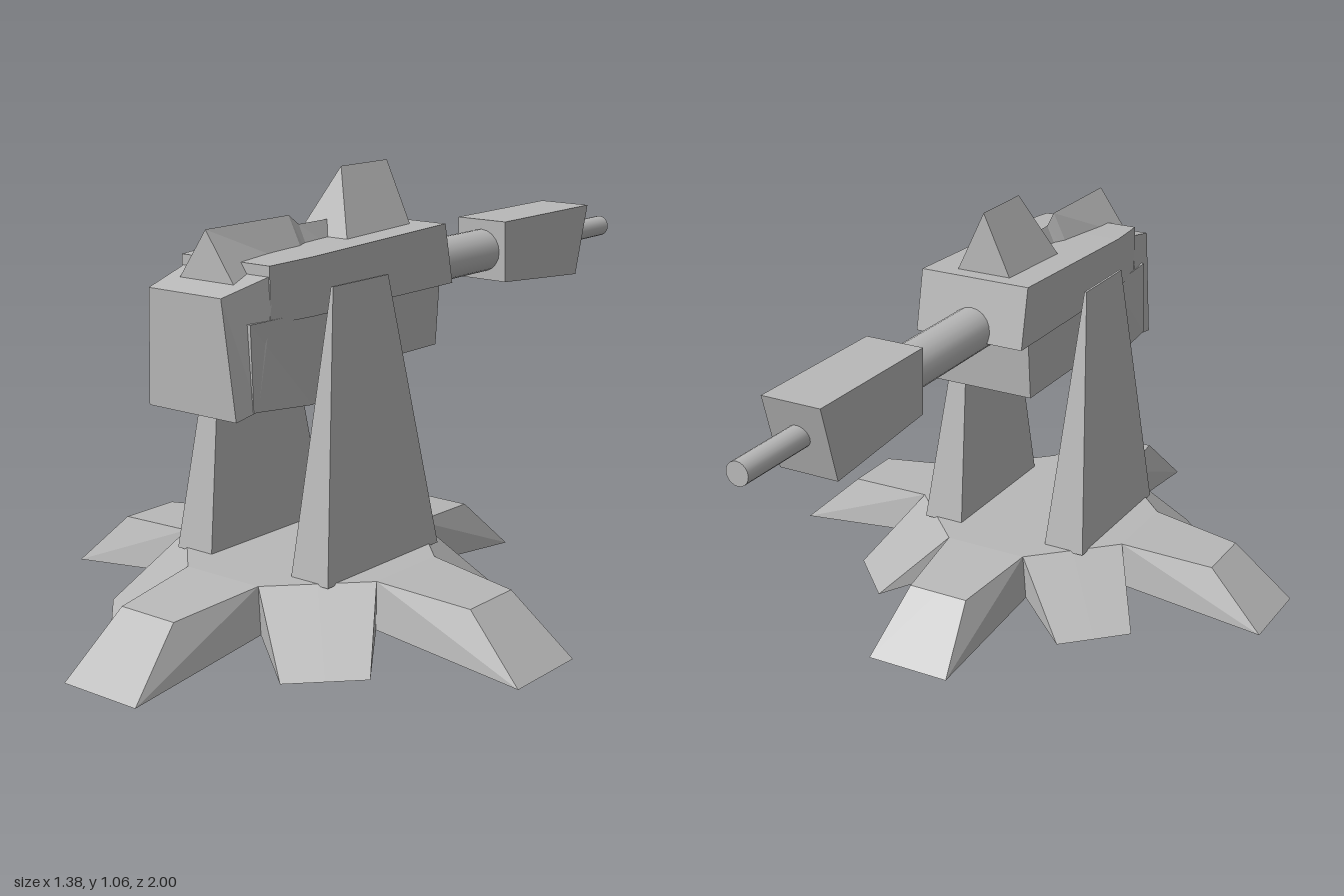
import * as THREE from 'three';

const grey = new THREE.MeshStandardMaterial({ color: 0xb8b8b8 });
grey.name = 'plain grey';
const greySheet = new THREE.MeshStandardMaterial({ color: 0xb8b8b8, side: THREE.DoubleSide });
greySheet.name = 'plain grey sheet';

// Unindexed triangles give flat facets
function facets(triangles) {
  const g = new THREE.BufferGeometry();
  g.setAttribute('position', new THREE.Float32BufferAttribute(triangles.flat(2), 3));
  g.computeVertexNormals();
  return g;
}

// Joins cross-sections (counter-clockwise seen from +z) running from back to front
function loft(sections) {
  const tris = [];
  const n = sections[0].length;
  for (let s = 0; s < sections.length - 1; s++) {
    const p = sections[s], q = sections[s + 1];
    for (let i = 0; i < n; i++) {
      const j = (i + 1) % n;
      tris.push([p[i], p[j], q[j]], [p[i], q[j], q[i]]);
    }
  }
  const first = sections[0], last = sections[sections.length - 1];
  for (let i = 1; i < n - 1; i++) {
    tris.push([first[0], first[i + 1], first[i]], [last[0], last[i], last[i + 1]]);
  }
  return facets(tris);
}

// Four-cornered section: half width, y and z of its top and bottom edges
const quad = (wt, yt, zt, wb, yb, zb, lean = 0) =>
  [[wt + lean, yt, zt], [-wt + lean, yt, zt], [-wb, yb, zb], [wb, yb, zb]];

// Three-cornered section with its peak on top
const peak = (yTop, zTop, w, yBase, zBase) =>
  [[0, yTop, zTop], [-w, yBase, zBase], [w, yBase, zBase]];

// Hollow star foot: a half arm and half of a short diagonal toe, copied eight times
function starFoot() {
  const C = [0, 0.16, 0], I = [0.30, 0.16, 0.11], Im = [0.30, 0.16, 0];
  const R = [0.54, 0.14, 0.08], Rm = [0.54, 0.14, 0];
  const T = [0.69, 0, 0.11], Tm = [0.69, 0, 0];
  const N = [0.31, 0.05, 0.125];
  const D = [0.205, 0.16, 0.205], E = [0.335, 0, 0.335], F = [0.405, 0, 0.265];
  const wedge = [
    [C, I, Im], [C, D, I],
    [Im, I, R], [Im, R, Rm],
    [Rm, R, T], [Rm, T, Tm],
    [I, N, T], [I, T, R],
    [D, E, F], [D, F, I], [I, F, N],
  ];
  const tris = [];
  for (let k = 0; k < 4; k++) {
    const c = Math.round(Math.cos(k * Math.PI / 2)), s = Math.round(Math.sin(k * Math.PI / 2));
    for (const m of [1, -1]) {
      const turn = ([x, y, z]) => [x * c + z * m * s, y, -x * s + z * m * c];
      for (const t of wedge) {
        const v = t.map(turn);
        tris.push(m > 0 ? v : [v[0], v[2], v[1]]);
      }
    }
  }
  return facets(tris);
}

export function createModel() {
  const group = new THREE.Group();
  group.name = 'turret';
  const add = (name, geometry, material = grey) => {
    const mesh = new THREE.Mesh(geometry, material);
    mesh.name = name;
    group.add(mesh);
    return mesh;
  };

  // Base
  add('starFoot', starFoot(), greySheet).position.z = 0.31;

  // Tapered pillars on either side
  for (const side of [1, -1]) {
    const lean = -0.01 * side;
    add(side > 0 ? 'leftPillar' : 'rightPillar', loft([
      quad(0.003, 0.825, 0.215, 0.055, 0.155, 0.10, lean),
      quad(0.003, 0.825, 0.415, 0.055, 0.155, 0.515, lean),
    ])).position.x = 0.18 * side;
  }

  // Housing: upper block, lower block and tapered nose
  add('upperHousing', loft([
    quad(0.146, 0.91, -0.045, 0.146, 0.76, -0.075),
    quad(0.146, 0.895, 0.45, 0.146, 0.76, 0.45),
    quad(0.132, 0.89, 0.58, 0.132, 0.76, 0.58),
  ]));
  add('lowerHousing', loft([
    quad(0.14, 0.77, -0.03, 0.14, 0.615, -0.015),
    quad(0.14, 0.77, 0.2, 0.14, 0.615, 0.2),
    quad(0.14, 0.77, 0.45, 0.14, 0.555, 0.45),
    quad(0.132, 0.77, 0.645, 0.138, 0.575, 0.645),
  ]));
  add('nose', loft([
    quad(0.131, 0.87, 0.56, 0.138, 0.575, 0.63),
    quad(0.108, 0.835, 0.71, 0.132, 0.562, 0.695),
  ]));

  // Ridge on the roof and the scope in front of it
  add('roofFin', loft([
    peak(1.06, 0, 0.08, 0.89, 0),
    peak(1.06, 0.175, 0.08, 0.89, 0.25),
  ]));
  add('scope', loft([
    peak(0.94, 0.2, 0.04, 0.845, 0.2),
    peak(0.94, 0.33, 0.045, 0.845, 0.33),
    peak(0.965, 0.365, 0.06, 0.845, 0.365),
    peak(0.965, 0.64, 0.085, 0.845, 0.64),
  ]));

  // Barrel, muzzle block and muzzle tip
  const tube = (name, r, y, z0, z1) => {
    const g = new THREE.CylinderGeometry(r, r, z1 - z0, 20);
    g.rotateX(Math.PI / 2);
    add(name, g).position.set(0, y, (z0 + z1) / 2);
  };
  tube('barrel', 0.056, 0.783, -0.42, -0.02);
  add('muzzleBlock', loft([
    quad(0.075, 0.865, -0.81, 0.075, 0.678, -0.755),
    quad(0.075, 0.865, -0.405, 0.075, 0.705, -0.41),
  ]));
  tube('muzzleTip', 0.028, 0.778, -1, -0.76);

  return group;
}
